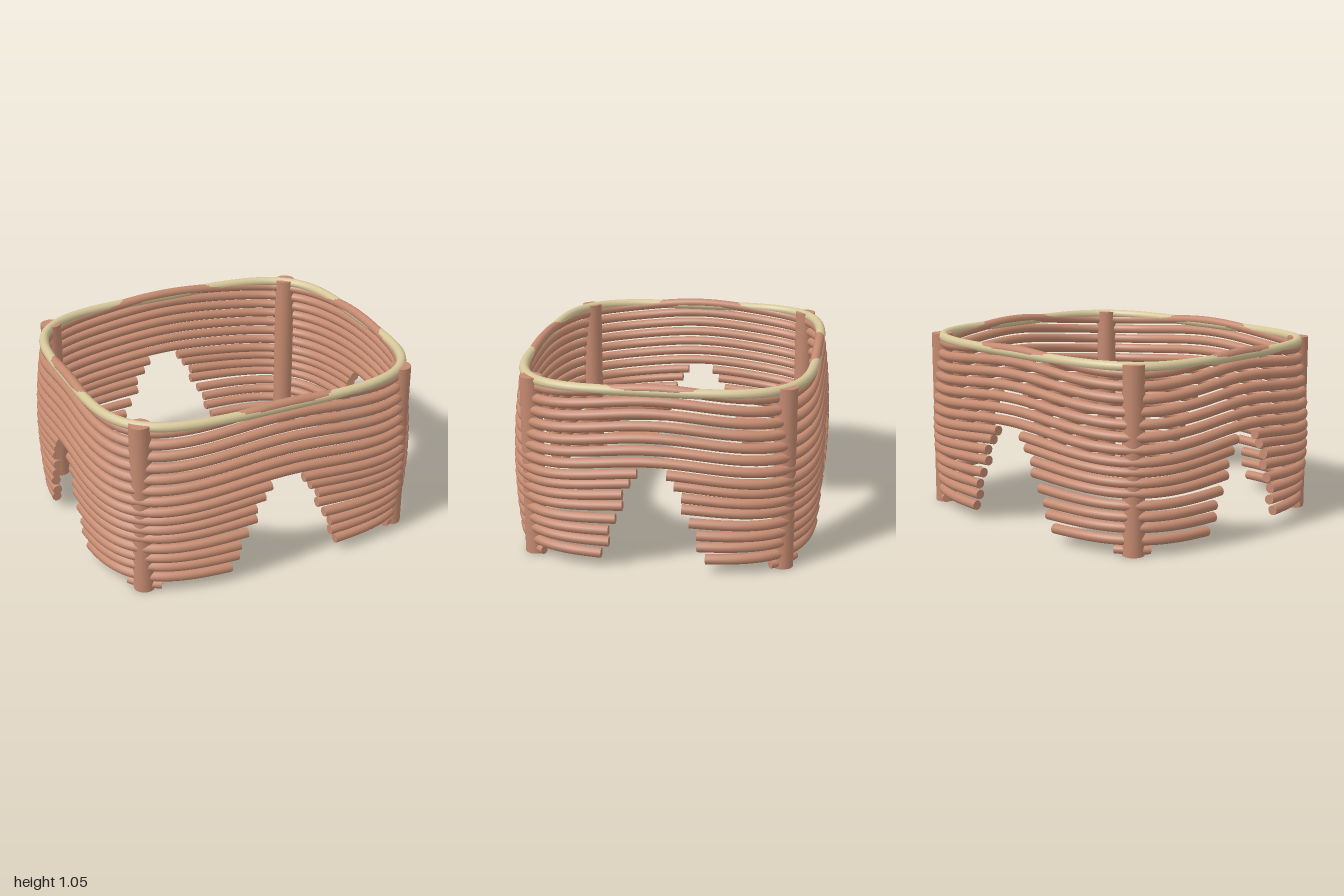
import * as THREE from 'three';

const ROD = 0.028;

// Rounded-square path at height y, lowered by "drop" at the corners
class RodCurve extends THREE.Curve {
  constructor(y, drop, from = 0, to = Math.PI * 2) {
    super();
    Object.assign(this, { y, drop, from, to });
    const k = (y - 0.5) / 0.52;
    this.a = 0.972 - (k > 0 ? 0.042 : 0.03) * k * k; // walls bulge at mid height
    this.b = this.a - 0.124;
  }
  getPoint(t, target = new THREE.Vector3()) {
    const p = this.from + (this.to - this.from) * t;
    const c = Math.cos(p), s = Math.sin(p);
    const r = Math.pow(c ** 4 + s ** 4, -0.25);
    const y = this.y - this.drop * (1 - Math.cos(4 * p)) / 2;
    return target.set(this.a * r * c, y, this.b * r * s);
  }
}

export function createModel() {
  const model = new THREE.Group();
  const brown = new THREE.MeshStandardMaterial({ color: 0xc48a70 });
  brown.name = 'reddish brown';
  const pale = new THREE.MeshStandardMaterial({ color: 0xd6c699 });
  pale.name = 'pale straw';

  const add = (geometry, material, name, parent = model) => {
    const mesh = new THREE.Mesh(geometry, material);
    mesh.name = name;
    parent.add(mesh);
    return mesh;
  };

  // Open rod with flat end caps
  const addRod = (curve, name, parent, radius = ROD) => {
    add(new THREE.TubeGeometry(curve, 32, radius, 12, false), brown, name, parent);
    for (const t of [0, 1]) {
      const cap = add(new THREE.CircleGeometry(radius, 12), brown, name + 'End', parent);
      const dir = curve.getTangent(t).multiplyScalar(t ? 1 : -1);
      cap.position.copy(curve.getPoint(t));
      cap.quaternion.setFromUnitVectors(new THREE.Vector3(0, 0, 1), dir);
    }
  };

  // Full wavy rings of the upper wall
  for (let i = 0; i < 7; i++) {
    const curve = new RodCurve(1.018 - 0.0655 * i, 0.05);
    add(new THREE.TubeGeometry(curve, 160, ROD, 12, true), brown, 'wallRing');
  }

  // Level rim ring, showing above the top rod at the corners
  add(new THREE.TubeGeometry(new RodCurve(1.003, 0), 160, ROD, 12, true), pale, 'rimRing');

  // Lower rods per corner: [height, corner drop, front end x, side end z]
  const rows = [
    [0.56, 0.05, 0.10, 0.08], [0.505, 0.047, 0.14, 0.12],
    [0.44, 0.04, 0.19, 0.16], [0.375, 0.03, 0.19, 0.16],
    [0.295, 0.018, 0.24, 0.20], [0.22, 0.005, 0.28, 0.24],
    [0.15, -0.005, 0.29, 0.24], [0.075, -0.01, 0.33, 0.285],
  ];
  for (const sx of [1, -1]) for (const sz of [1, -1]) {
    const corner = new THREE.Group();
    corner.name = (sz > 0 ? 'front' : 'back') + (sx > 0 ? 'Left' : 'Right') + 'Corner';
    model.add(corner);
    // Map a first-quadrant angle into this corner
    const turn = (p) => Math.atan2(sz * Math.sin(p), sx * Math.cos(p));

    for (const [y, drop, ex, ez] of rows) {
      const { a, b } = new RodCurve(y, drop);
      const from = turn(Math.atan2(ez, b)), to = turn(Math.atan2(a, ex));
      addRod(new RodCurve(y, drop, from, to), 'lowerRod', corner);
    }

    // Short stub across the foot of the post
    addRod(new RodCurve(0.03, 0, turn(0.7), turn(0.88)), 'footStub', corner, 0.024);

    // Upright corner post
    const post = add(new THREE.CylinderGeometry(0.06, 0.06, 1.02, 20), brown, 'cornerPost', corner);
    post.position.set(sx * 0.79, 0.51, sz * 0.687);
  }
  return model;
}
